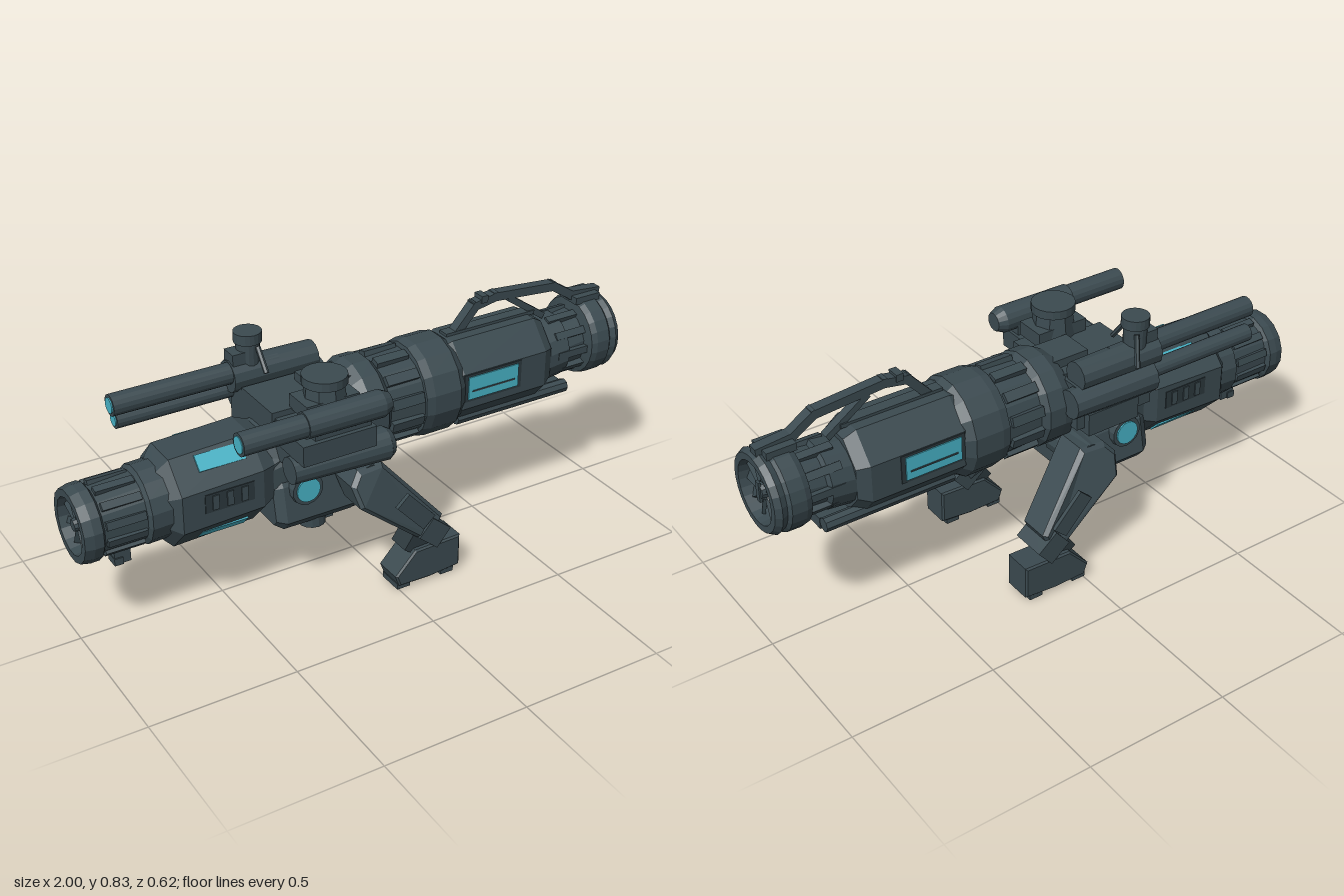
import * as THREE from 'three';

const mat = (name, color) => Object.assign(new THREE.MeshStandardMaterial({ color, flatShading: true }), { name });

export function createModel() {
  const root = new THREE.Group();
  const steel = mat('gunmetal', 0x3b4a50), dark = mat('darkRecess', 0x2c383d), glow = mat('cyanGlow', 0x48b4c8);

  const add = (name, geo, m = steel) => {
    const mesh = new THREE.Mesh(geo, m);
    mesh.name = name;
    root.add(mesh);
    return mesh;
  };
  const box = (name, x, y, z, w, h, d, m, rx = 0, rz = 0) => {
    const b = add(name, new THREE.BoxGeometry(w, h, d), m);
    b.position.set(x, y, z);
    b.rotation.set(rx, 0, rz);
    return b;
  };
  // The body's centre line rises from the muzzle to the rear
  const line = [[-1, 0.42], [-0.37, 0.445], [-0.02, 0.562], [0.7, 0.565], [0.9, 0.588], [1, 0.59]];
  const axisY = (x) => {
    let i = 1;
    while (i < line.length - 1 && x > line[i][0]) i++;
    const [a, b] = [line[i - 1], line[i]];
    return a[1] + (b[1] - a[1]) * (x - a[0]) / (b[0] - a[0]);
  };
  // Turned section along x from [x, radius] pairs, following the centre line
  const section = (name, profile, sides, zScale = 1, m = steel) => {
    const g = new THREE.LatheGeometry(profile.map(([x, r]) => new THREE.Vector2(r, x)), sides, Math.PI / sides);
    g.rotateZ(-Math.PI / 2).scale(1, 1, zScale);
    const p = g.attributes.position;
    for (let i = 0; i < p.count; i++) p.setY(i, p.getY(i) + axisY(p.getX(i)));
    g.computeVertexNormals();
    return add(name, g, m);
  };
  // Cylinder between two points
  const rod = (name, a, b, r0, r1 = r0, sides = 16, m = steel) => {
    const A = new THREE.Vector3(...a), B = new THREE.Vector3(...b);
    const c = add(name, new THREE.CylinderGeometry(r1, r0, A.distanceTo(B), sides), m);
    c.position.copy(A).lerp(B, 0.5);
    c.quaternion.setFromUnitVectors(new THREE.Vector3(0, 1, 0), B.sub(A).normalize());
    return c;
  };
  const slab = (pts, depth, bevel = 0.012) => new THREE.ExtrudeGeometry(
    new THREE.Shape(pts.map(([x, y]) => new THREE.Vector2(x, y))),
    { depth: depth - 2 * bevel, bevelThickness: bevel, bevelSize: bevel, bevelOffset: -bevel, bevelSegments: 1 }
  ).translate(0, 0, bevel - depth / 2);
  // Plates or bars set around the centre line
  const around = (name, n, x, r, w, h, d, m, tilt = 0) => {
    for (let i = 0; i < n; i++) {
      const g = new THREE.BoxGeometry(w, h, d).rotateY(tilt).translate(0, r, 0).rotateX((i + 0.5) / n * Math.PI * 2);
      add(name, g, m).position.set(x, axisY(x), 0);
    }
  };

  // Main body sections
  section('muzzle', [[-0.955, 0], [-0.955, 0.09], [-1, 0.095], [-1, 0.12], [-0.97, 0.127], [-0.94, 0.127], [-0.93, 0.112],
    [-0.79, 0.115], [-0.78, 0.13], [-0.7, 0.13]], 16);
  section('forwardBody', [[-0.73, 0], [-0.73, 0.125], [-0.69, 0.17], [-0.41, 0.17], [-0.36, 0.145], [-0.3, 0.14]], 8, 0.95);
  section('core', [[-0.4, 0.13], [-0.33, 0.14], [-0.12, 0.14], [-0.03, 0.135], [-0.03, 0]], 12);
  section('collar', [[-0.06, 0], [-0.06, 0.155], [-0.02, 0.165], [0.04, 0.165], [0.06, 0.145], [0.2, 0.15]], 16);
  section('collarRing', [[0.18, 0.12], [0.19, 0.165], [0.22, 0.172], [0.32, 0.172], [0.35, 0.15]], 16, 0.95);
  section('rearBody', [[0.33, 0.16], [0.35, 0.168], [0.68, 0.168], [0.72, 0.14], [0.72, 0]], 8, 0.87);
  section('rearNeck', [[0.7, 0.115], [0.8, 0.115], [0.81, 0.1], [0.9, 0.1]], 16);
  section('rearRing', [[0.87, 0.09], [0.88, 0.135], [0.9, 0.142], [0.95, 0.142], [0.96, 0.132], [0.98, 0.14], [1, 0.128],
    [1, 0.105], [0.95, 0.1], [0.95, 0]], 24);
  around('muzzleRib', 12, -0.86, 0.114, 0.13, 0.018, 0.026);
  around('muzzleBlade', 8, -0.966, 0.05, 0.02, 0.075, 0.022, steel, 0.5);
  around('fanBlade', 10, 0.963, 0.064, 0.012, 0.07, 0.034, steel, 0.5);
  around('collarRib', 12, 0.12, 0.148, 0.12, 0.026, 0.034);
  around('neckRib', 10, 0.82, 0.104, 0.13, 0.022, 0.026);
  rod('fanHub', [0.94, 0.59, 0], [0.985, 0.59, 0], 0.036, 0.024, 10);
  rod('muzzleHub', [-0.94, 0.422, 0], [-0.99, 0.42, 0], 0.03, 0.02, 10);
  box('fanPlate', 0.986, 0.59, 0, 0.008, 0.07, 0.02, steel);
  box('muzzleFoot', -0.845, 0.28, 0, 0.055, 0.07, 0.04);
  box('muzzleToe', -0.86, 0.256, 0, 0.03, 0.025, 0.05);
  box('bottomRail', 0.52, 0.425, 0, 0.6, 0.04, 0.09);
  box('topRail', 0.53, 0.722, 0, 0.36, 0.014, 0.04);
  for (const s of [-1, 1]) {
    rod('lowerRail', [0.36, 0.435, s * 0.07], [0.82, 0.435, s * 0.07], 0.024, 0.024, 8);
    // Glowing windows and recessed vents
    box('rearWindowFrame', 0.463, 0.576, s * 0.135, 0.23, 0.1, 0.006, dark);
    box('rearWindow', 0.463, 0.576, s * 0.139, 0.2, 0.082, 0.006, glow);
    box('rearWindowBar', 0.463, 0.565, s * 0.142, 0.17, 0.005, 0.006, steel);
    box('sideVent', -0.53, 0.452, s * 0.149, 0.17, 0.065, 0.006, dark);
    for (const v of [-0.05, 0, 0.05]) box('ventBar', -0.53 + v, 0.452, s * 0.152, 0.022, 0.05, 0.008);
    for (const t of [-1, 1]) {
      const w = box('forwardWindow', -0.53, axisY(-0.53) + t * 0.127, s * 0.091, 0.16, 0.006, 0.055, glow, s * t * 0.805);
      w.name = t > 0 ? 'upperForwardWindow' : 'lowerForwardWindow';
    }
  }

  // Carry handle on the rear body
  const grip = [[0.39, 0.71], [0.47, 0.8], [0.55, 0.815], [0.79, 0.795], [0.87, 0.745], [0.98, 0.735]];
  grip.slice(1).forEach(([x, y], i) => {
    const [px, py] = grip[i];
    box('handle', (x + px) / 2, (y + py) / 2, 0, Math.hypot(x - px, y - py) + 0.02, 0.03, 0.036, steel, 0, Math.atan2(y - py, x - px));
  });
  box('handleStrut', 0.68, 0.745, 0, 0.18, 0.022, 0.03, steel, 0, -0.6);
  box('handleBase', 0.92, 0.73, 0, 0.1, 0.025, 0.09);
  box('handlePin', 0.5, 0.82, 0, 0.025, 0.025, 0.045);

  // Hip block slung under the core
  const hip = new THREE.Shape([[-0.17, 0.3], [-0.14, 0.265], [0.14, 0.265], [0.17, 0.3], [0.145, 0.42], [0.1, 0.48], [-0.1, 0.48], [-0.145, 0.42]]
    .map(([z, y]) => new THREE.Vector2(z, y)));
  add('hipBlock', new THREE.ExtrudeGeometry(hip, { depth: 0.25, bevelThickness: 0.03, bevelSize: 0.02, bevelOffset: -0.02, bevelSegments: 1 })
    .rotateY(Math.PI / 2)).position.x = -0.34;
  for (const z of [0.1, -0.09]) rod('underDrum', [-0.215, 0.235, z], [-0.215, 0.29, z], 0.046, 0.046, 14);

  // Legs, mirrored front and back
  for (const s of [-1, 1]) {
    rod('hipDrum', [-0.265, 0.405, s * 0.08], [-0.265, 0.405, s * 0.17], 0.065, 0.055, 14);
    rod('hipLight', [-0.265, 0.405, s * 0.168], [-0.265, 0.405, s * 0.175], 0.042, 0.042, 16, glow);
    rod('hipAxle', [-0.07, 0.41, s * 0.06], [-0.07, 0.41, s * 0.23], 0.06, 0.055, 12);
    const thigh = slab([[-0.155, 0.42], [-0.12, 0.46], [-0.03, 0.465], [0.165, 0.24], [0.13, 0.16], [0.07, 0.18], [-0.14, 0.35]], 0.125);
    const p = thigh.attributes.position;
    for (let i = 0; i < p.count; i++) p.setZ(i, p.getZ(i) + s * (0.242 - Math.max(0, p.getY(i) - 0.33) * 0.5));
    add('thigh', thigh);
    box('thighPlate', 0.055, 0.29, s * 0.302, 0.15, 0.06, 0.014, steel, 0, -0.83);
    box('knee', 0.13, 0.185, s * 0.247, 0.09, 0.08, 0.125, steel, 0, -0.7);
    box('ankle', 0.09, 0.15, s * 0.245, 0.09, 0.09, 0.08, dark, 0, -0.6);
    add('foot', slab([[-0.015, 0.055], [0.06, 0.135], [0.235, 0.14], [0.235, 0.022], [0.12, 0.012], [0, 0.015]], 0.106, 0.006)).position.z = s * 0.25;
    for (const x of [0.02, 0.19]) box('footPad', x, 0.01, s * 0.25, 0.05, 0.02, 0.09);
  }

  // Gun pod on the +z side
  rod('longTube', [-0.55, 0.7, 0.263], [-0.2, 0.7, 0.263], 0.038);
  rod('longTubeSleeve', [-0.33, 0.7, 0.262], [-0.06, 0.7, 0.262], 0.044, 0.046);
  rod('longTubeTail', [-0.06, 0.7, 0.262], [-0.03, 0.7, 0.262], 0.046, 0.032);
  rod('longTubeLens', [-0.553, 0.7, 0.263], [-0.549, 0.7, 0.263], 0.028, 0.028, 16, glow);
  rod('shortTube', [-0.36, 0.53, 0.222], [-0.02, 0.53, 0.225], 0.045, 0.057);
  rod('shortTubeTail', [-0.02, 0.53, 0.225], [0, 0.53, 0.225], 0.057, 0.045);
  box('podBracket', -0.22, 0.61, 0.2, 0.26, 0.07, 0.19);
  box('podSpine', -0.2, 0.65, 0.25, 0.2, 0.08, 0.06);
  box('podRoot', -0.2, 0.58, 0.13, 0.28, 0.14, 0.12);

  // Turret drum above the core
  rod('drumColumn', [-0.185, 0.58, 0.14], [-0.185, 0.76, 0.14], 0.085, 0.065, 8);
  rod('drumCap', [-0.185, 0.755, 0.14], [-0.185, 0.785, 0.14], 0.074, 0.074, 20);
  box('drumClamp', -0.185, 0.69, 0.14, 0.19, 0.05, 0.11);

  // Twin barrels on the -z side
  rod('upperBarrel', [-0.78, 0.705, -0.148], [-0.2, 0.705, -0.148], 0.036);
  rod('upperBarrelLens', [-0.784, 0.705, -0.148], [-0.779, 0.705, -0.148], 0.026, 0.026, 16, glow);
  rod('lowerBarrel', [-0.755, 0.63, -0.185], [-0.2, 0.63, -0.185], 0.03);
  rod('lowerBarrelLens', [-0.759, 0.63, -0.185], [-0.754, 0.63, -0.185], 0.021, 0.021, 16, glow);
  rod('upperBreech', [-0.37, 0.69, -0.155], [-0.06, 0.69, -0.155], 0.055, 0.05, 12);
  rod('lowerBreech', [-0.34, 0.61, -0.178], [-0.02, 0.61, -0.178], 0.058, 0.05, 12);
  box('barrelMount', -0.2, 0.58, -0.12, 0.3, 0.16, 0.12);
  box('barrelBase', -0.18, 0.52, -0.16, 0.2, 0.08, 0.09);

  // Sensor post with braces
  rod('sensorPost', [-0.295, 0.68, -0.155], [-0.295, 0.815, -0.155], 0.038, 0.04, 16);
  rod('sensorCap', [-0.295, 0.8, -0.155], [-0.295, 0.835, -0.155], 0.047, 0.047, 20);
  rod('sensorBrace', [-0.28, 0.72, -0.06], [-0.28, 0.79, -0.115], 0.009, 0.009, 6);
  rod('sensorBrace', [-0.27, 0.79, -0.195], [-0.25, 0.69, -0.23], 0.009, 0.009, 6);
  box('sensorBox', -0.335, 0.755, -0.155, 0.06, 0.04, 0.06);
  // Deck between the two gun mounts
  box('deck', -0.2, 0.625, 0, 0.3, 0.09, 0.2);
  box('deckPlate', -0.1, 0.675, 0, 0.16, 0.05, 0.12);
  return root;
}
